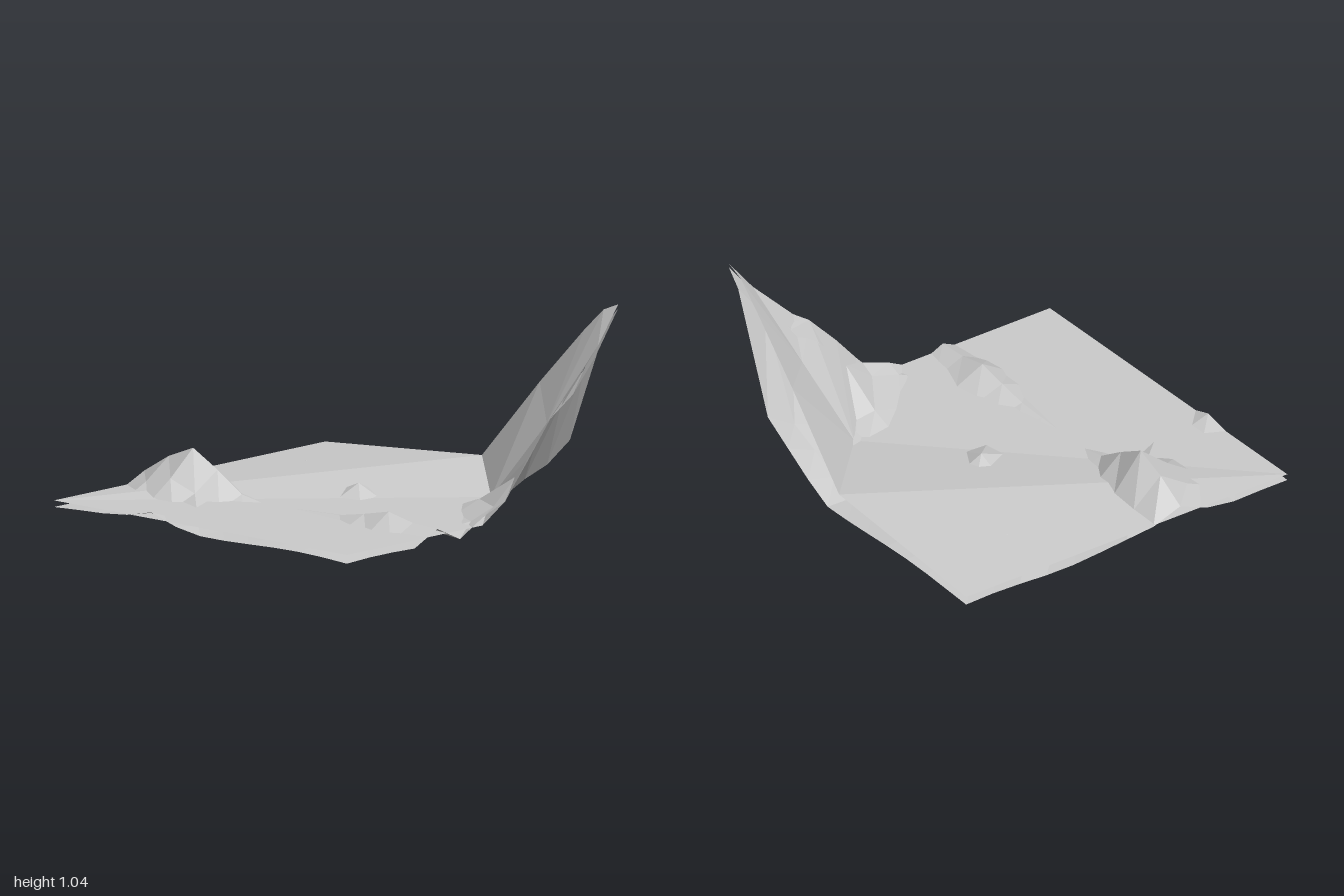
import * as THREE from 'three';

const material = new THREE.MeshStandardMaterial({ color: 0xcccccc, flatShading: true, side: THREE.DoubleSide });

// Hills of the rough ground: x, z, height, radius in x, radius in z
const HILLS = [
  [-0.37, -0.67, 0.225, 0.17, 0.25], // main peak
  [-0.33, 0, 0.045, 0.1, 9],         // long ridge
  [-0.29, 0.67, 0.09, 0.15, 0.2],    // front knoll
  [-0.33, 1, 0.04, 0.1, 0.15],
  [-0.67, -0.33, 0.04, 0.12, 0.12],  // spur
  [-1, -0.33, 0.06, 0.1, 0.15],
  [0.5, -0.67, 0.08, 0.12, 0.14],    // small tips that break the surface
  [0.17, 0, 0.075, 0.12, 0.12],
  [0.66, 0.33, 0.045, 0.13, 0.13],
];

// Heights of the steep corner, rows from z = 0.33 to 1, columns from x = 0 to 1
const CORNER = [
  [0.02, 0.02, 0.02, 0.03, 0.07, 0.06, 0.1],
  [0.02, 0.03, 0.04, 0.05, 0.08, 0.13, 0.2],
  [0.03, 0.05, 0.1, 0.08, 0.15, 0.2, 0.3],
  [0.07, 0.12, 0.25, 0.44, 0.575, 0.72, 0.93],
  [0.1, 0.16, 0.34, 0.53, 0.63, 0.8, 1.02],
];
const CORNER_Z = [0.33, 0.5, 0.67, 0.92, 1];

function hillHeight(x, z) {
  let h = 0.021 + 0.021 * Math.sin(5 * x + 2 * z + 1.2) * Math.cos(3 * z - 2 * x);
  for (const [hx, hz, height, rx, rz] of HILLS) {
    h += height * Math.exp(-(((x - hx) / rx) ** 2) - ((z - hz) / rz) ** 2);
  }
  return Math.max(0, h);
}

// Rough ground on a 12 by 12 grid
function makeTerrain() {
  const geometry = new THREE.PlaneGeometry(2, 2, 12, 12).rotateX(-Math.PI / 2);
  const p = geometry.attributes.position;
  for (let i = 0; i < p.count; i++) {
    const col = (i % 13) - 6;
    const row = Math.floor(i / 13) - 8;
    if (col >= 0 && row >= 0) {
      p.setY(i, CORNER[row][col]);
      p.setZ(i, CORNER_Z[row]);
    } else {
      p.setY(i, hillHeight(p.getX(i), p.getZ(i)));
    }
  }
  return geometry;
}

// Smooth cover: a nearly flat sheet that folds up to the high corner
function makeCover() {
  const points = [
    [-1, 0.06, -1], [1, 0.06, -1], [1, 0.14, 0.07], [0.55, 0.06, 0.55],
    [0, 0.06, 1], [-1, 0.06, 1], [1, 0.57, 0.464], [0.69, 0.45, 0.8],
    [1, 0.88, 0.77], [1, 1, 0.9], [1, 1.04, 1], [0.85, 0.85, 1],
    [0.6, 0.6, 1], [0.5, 0.53, 1], [0.33, 0.35, 1], [0.17, 0.16, 1],
  ];
  const faces = [
    [0, 1, 2], [0, 2, 3], [0, 3, 5], [5, 3, 4],
    [2, 6, 3], [6, 7, 3], [6, 8, 7], [8, 9, 7], [9, 10, 11], [9, 11, 7],
    [7, 11, 12], [7, 12, 13], [7, 13, 3], [13, 14, 3], [14, 15, 3], [15, 4, 3],
  ];
  const geometry = new THREE.BufferGeometry();
  geometry.setAttribute('position', new THREE.Float32BufferAttribute(points.flat(), 3));
  geometry.setIndex(faces.flat().reverse()); // corners run anticlockwise from above
  return geometry;
}

function addPart(group, name, indexed) {
  const geometry = indexed.toNonIndexed();
  geometry.computeVertexNormals();
  const mesh = new THREE.Mesh(geometry, material);
  mesh.name = name;
  group.add(mesh);
}

export function createModel() {
  const group = new THREE.Group();
  group.name = 'landscape';
  addPart(group, 'terrain', makeTerrain());
  addPart(group, 'cover', makeCover());
  return group;
}
